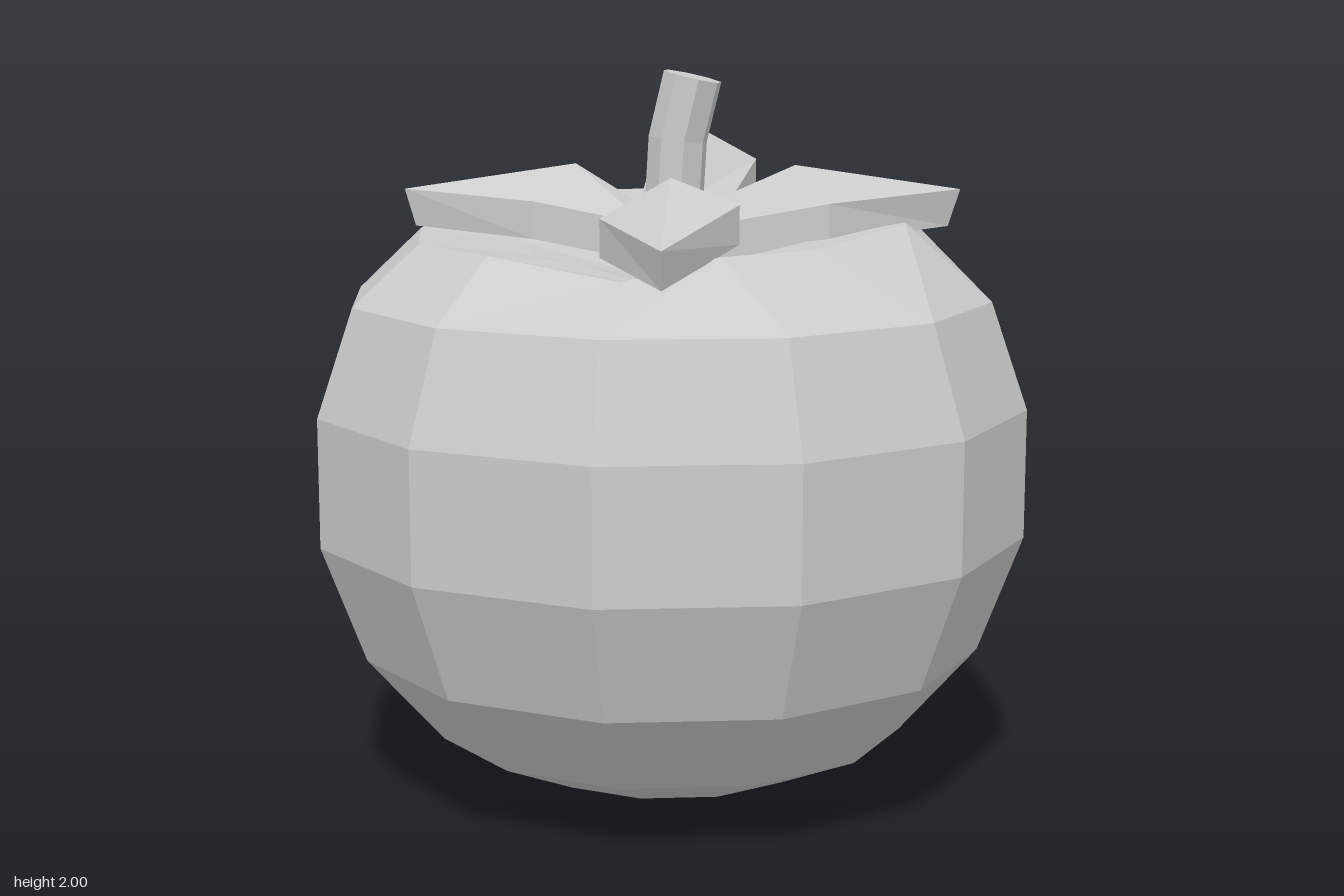
import * as THREE from 'three';

const material = new THREE.MeshStandardMaterial({ color: 0xcccccc, flatShading: true });

// Skin a series of closed rings (arrays of Vector3) into a faceted mesh.
function loft(name, rings, capStart = false, capEnd = false) {
  const pos = [];
  const tri = (a, b, c) => {
    const area = b.clone().sub(a).cross(c.clone().sub(a)).length();
    if (area > 1e-7) for (const p of [a, b, c]) pos.push(p.x, p.y, p.z);
  };
  const n = rings[0].length;
  for (let i = 0; i < rings.length - 1; i++) {
    for (let j = 0; j < n; j++) {
      const k = (j + 1) % n;
      const [a, b, c, d] = [rings[i][j], rings[i][k], rings[i + 1][k], rings[i + 1][j]];
      tri(a, b, c);
      tri(a, c, d);
    }
  }
  const first = rings[0], last = rings[rings.length - 1];
  for (let j = 1; j < n - 1; j++) {
    if (capStart) tri(first[0], first[j + 1], first[j]);
    if (capEnd) tri(last[0], last[j], last[j + 1]);
  }
  const geometry = new THREE.BufferGeometry();
  geometry.setAttribute('position', new THREE.Float32BufferAttribute(pos, 3));
  geometry.computeVertexNormals();
  const mesh = new THREE.Mesh(geometry, material);
  mesh.name = name;
  return mesh;
}

const vec = (p) => new THREE.Vector3(...p);

// Horizontal ring, starting at the front and running towards +x.
function circle(r, y, sides = 12) {
  return Array.from({ length: sides }, (_, i) => {
    const a = (i / sides) * Math.PI * 2;
    return new THREE.Vector3(r * Math.sin(a), y, r * Math.cos(a));
  });
}

// Twelve-sided fruit with an uneven rim and a hollow under the leaves.
function makeFruit() {
  const profile = [[0, 0], [0.4, 0.08], [0.65, 0.19], [0.86, 0.43], [0.98, 0.75], [0.98, 1.1], [0.88, 1.39]];
  const rings = profile.map(([r, y]) => circle(r, y));
  const rim = [
    [0, 1.5, 0.64], [0.24, 1.56, 0.57], [0.46, 1.56, 0.36], [0.65, 1.6, 0.05],
    [0.61, 1.59, -0.36], [0.28, 1.62, -0.6], [0, 1.63, -0.65], [-0.35, 1.62, -0.6],
    [-0.65, 1.58, -0.3], [-0.7, 1.56, 0], [-0.61, 1.55, 0.33], [-0.36, 1.55, 0.57],
  ].map(vec);
  const hollow = rim.map((p) => new THREE.Vector3(p.x * 0.55, p.y - 0.04, p.z * 0.55));
  rings.push(rim, hollow, circle(0, 1.42));
  return loft('fruit', rings);
}

// Thick pointed leaf: base and middle are [left, ridge, right], seen outwards.
function makeLeaf(name, base, middle, tip) {
  const thickness = 0.1;
  const down = (p) => p.clone().setY(p.y - thickness);
  const section = (points) => {
    const top = points.map(vec);
    return [...top, ...top.map(down).reverse()];
  };
  const t = vec(tip);
  const b = down(t);
  b.x *= 0.96;
  b.z *= 0.96;
  return loft(name, [section(base), section(middle), [t, t, t, b, b, b]], true);
}

// Bent eight-sided stalk.
function makeStem() {
  const spine = [[0.02, 1.48, 0.08, 0], [0.04, 1.82, 0.08, -0.12], [0.08, 1.985, 0.08, -0.22]];
  const rings = spine.map(([x, y, z, tilt]) =>
    circle(0.08, 0, 8).map((p) =>
      p.applyAxisAngle(new THREE.Vector3(0, 1, 0), Math.PI / 8)
        .applyAxisAngle(new THREE.Vector3(0, 0, 1), tilt)
        .add(new THREE.Vector3(x, y, z))));
  return loft('stem', rings, true, true);
}

export function createModel() {
  const group = new THREE.Group();
  group.name = 'persimmon';
  group.add(makeFruit(), makeStem());

  const leaves = new THREE.Group();
  leaves.name = 'leaves';
  leaves.add(
    makeLeaf('backLeaf',
      [[-0.09, 1.6, 0.02], [0.03, 1.64, 0.05], [0.14, 1.6, 0.02]],
      [[-0.13, 1.74, -0.45], [0.02, 1.82, -0.38], [0.17, 1.73, -0.45]],
      [-0.03, 1.61, -0.81]),
    makeLeaf('frontLeaf',
      [[0.12, 1.61, 0.16], [0.01, 1.65, 0.14], [-0.11, 1.61, 0.18]],
      [[0.27, 1.68, 0.46], [0.08, 1.74, 0.39], [-0.09, 1.64, 0.47]],
      [0.14, 1.6, 0.83]),
    makeLeaf('rightLeaf',
      [[-0.02, 1.6, 0.2], [-0.02, 1.62, 0.08], [-0.04, 1.6, -0.08]],
      [[-0.32, 1.66, 0.24], [-0.24, 1.75, 0.08], [-0.34, 1.68, -0.07]],
      [-0.7, 1.68, 0.15]),
    makeLeaf('leftLeaf',
      [[0.1, 1.59, -0.04], [0.06, 1.62, 0.07], [0.1, 1.59, 0.18]],
      [[0.42, 1.69, -0.18], [0.35, 1.75, 0.03], [0.46, 1.66, 0.17]],
      [0.78, 1.68, -0.12]),
  );
  group.add(leaves);
  return group;
}
